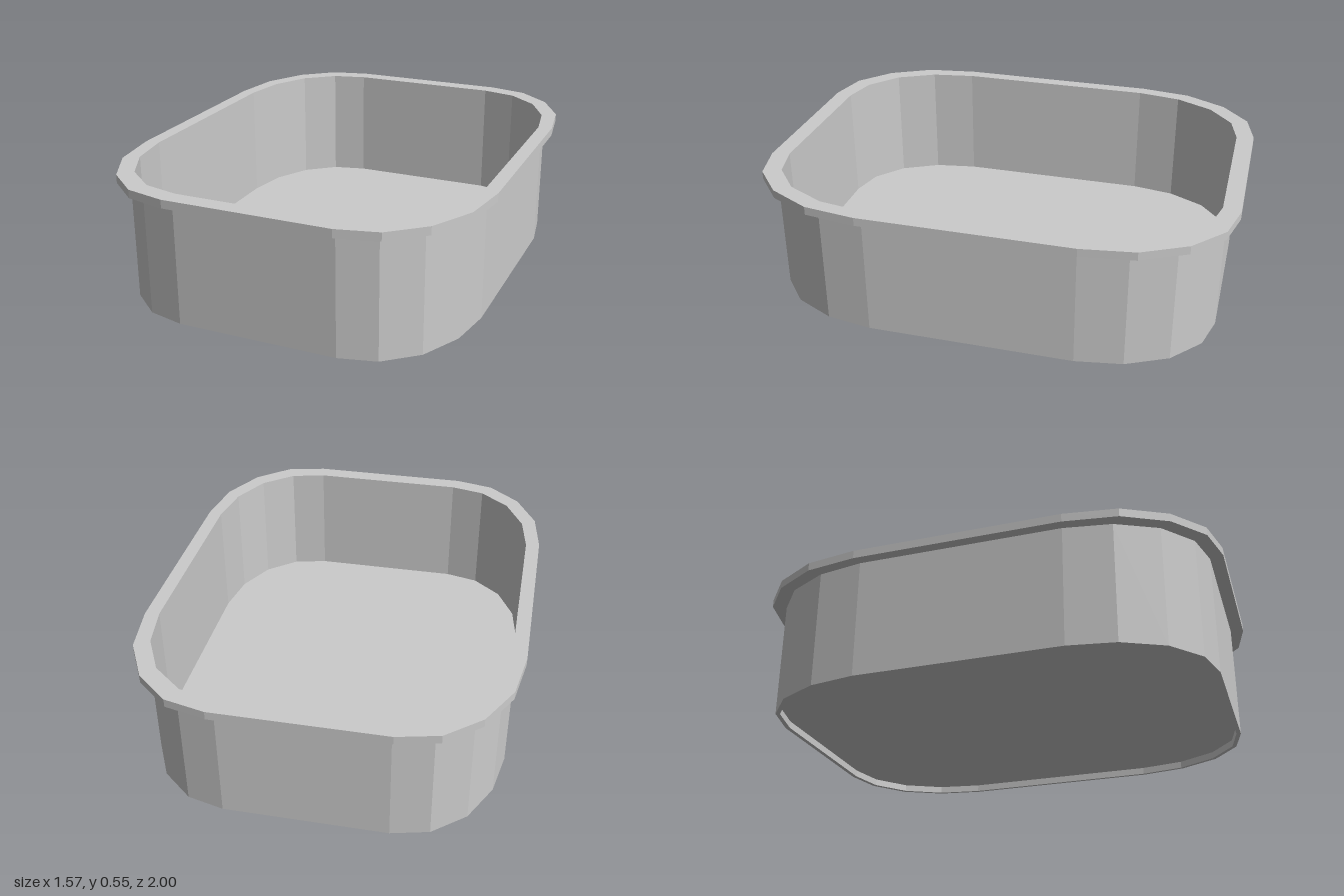
import * as THREE from 'three';

// Corner points (x, z) of one quadrant for each outline
const RIM = [[0.787, 0.44], [0.755, 0.66], [0.66, 0.84], [0.52, 0.96], [0.35, 1.0]];
const WALL = [[0.742, 0.43], [0.71, 0.625], [0.625, 0.795], [0.492, 0.907], [0.337, 0.945]];
const INNER = [[0.728, 0.43], [0.697, 0.62], [0.613, 0.783], [0.484, 0.89], [0.334, 0.926]];

// Mirror one quadrant into a closed counter-clockwise outline
function outline(quadrant) {
  const back = [...quadrant].reverse();
  return [
    ...quadrant,
    ...back.map(([x, z]) => [-x, z]),
    ...quadrant.map(([x, z]) => [-x, -z]),
    ...back.map(([x, z]) => [x, -z]),
  ].map(([x, z]) => new THREE.Vector2(x, z));
}

// Upright ring between two outlines, from height y0 to y1
function ring(outer, inner, y0, y1) {
  const shape = new THREE.Shape(outline(outer));
  shape.holes.push(new THREE.Path(outline(inner)));
  const geo = new THREE.ExtrudeGeometry(shape, { depth: y1 - y0, bevelEnabled: false });
  return geo.rotateX(-Math.PI / 2).translate(0, y0, 0);
}

export function createModel() {
  const group = new THREE.Group();
  group.name = 'tray';
  const material = new THREE.MeshStandardMaterial({
    color: 0xcccccc, flatShading: true, side: THREE.DoubleSide,
  });
  const add = (name, geometry) => {
    const mesh = new THREE.Mesh(geometry, material);
    mesh.name = name;
    group.add(mesh);
  };

  // Thin side wall
  add('wall', ring(WALL, INNER, 0, 0.51));

  // Overhanging lip around the top
  add('rim', ring(RIM, INNER, 0.51, 0.545));

  // Floor, raised slightly above the wall's lower edge
  const floor = new THREE.ShapeGeometry(new THREE.Shape(outline(INNER)));
  add('floor', floor.rotateX(-Math.PI / 2).translate(0, 0.03, 0));

  return group;
}
